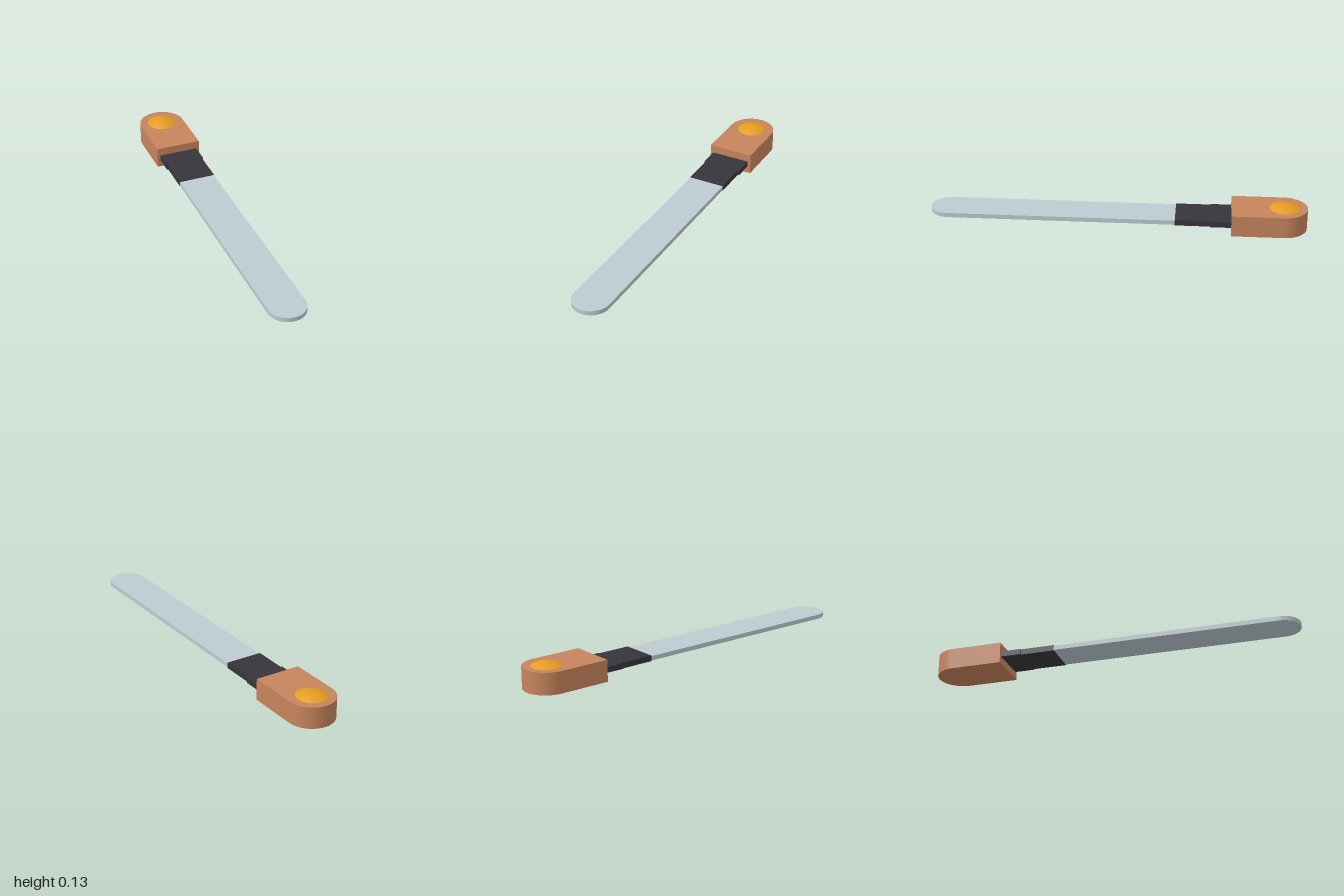
import * as THREE from 'three';
import { toCreasedNormals } from 'three/addons/utils/BufferGeometryUtils.js';

const material = (name, color) => new THREE.MeshStandardMaterial({ name, color });

// Flat bar from z = flatEnd to a half-round tip at z = tip, between two heights
function roundEndedBar(halfWidth, flatEnd, tip, bottom, top) {
  const dir = Math.sign(tip - flatEnd);
  const centre = tip - dir * halfWidth;
  const shape = new THREE.Shape();
  shape.moveTo(-halfWidth, flatEnd);
  shape.lineTo(halfWidth, flatEnd);
  shape.lineTo(halfWidth, centre);
  shape.absarc(0, centre, halfWidth, 0, dir * Math.PI, dir < 0);
  shape.closePath();
  const geometry = new THREE.ExtrudeGeometry(shape, {
    depth: top - bottom, bevelEnabled: false, curveSegments: 32,
  });
  geometry.rotateX(Math.PI / 2).translate(0, top, 0);
  return toCreasedNormals(geometry, 0.6);
}

export function createModel() {
  const model = new THREE.Group();
  model.name = 'flatBladeTool';

  const copper = material('copper', 0xc6845c);
  const amber = material('amber', 0xe59c22);
  const charcoal = material('charcoal', 0x37353c);
  const steel = material('paleSteel', 0xbccbd1);

  const add = (name, geometry, mat, x = 0, y = 0, z = 0) => {
    const mesh = new THREE.Mesh(geometry, mat);
    mesh.name = name;
    mesh.position.set(x, y, z);
    model.add(mesh);
  };

  // Long blade with a rounded tip
  add('blade', roundEndedBar(0.099, -0.32, 1, 0.043, 0.067), steel);

  // Collar gripping the blade, with a wider shoulder at the handle
  add('collar', new THREE.BoxGeometry(0.2, 0.031, 0.305), charcoal, 0, 0.0555, -0.4575);
  add('collarShoulder', new THREE.BoxGeometry(0.216, 0.03, 0.12), charcoal, 0, 0.0555, -0.55);

  // Block handle, rounded at the back
  add('handle', roundEndedBar(0.125, -0.6, -1, 0, 0.115), copper);

  // Shallow domed button: cap of a larger sphere
  const capRadius = 0.079, capHeight = 0.018;
  const sphereRadius = (capRadius ** 2 + capHeight ** 2) / (2 * capHeight);
  const cap = new THREE.SphereGeometry(sphereRadius, 48, 12, 0, Math.PI * 2, 0, Math.asin(capRadius / sphereRadius));
  add('button', cap, amber, 0, 0.115 + capHeight - sphereRadius, -0.878);

  return model;
}
